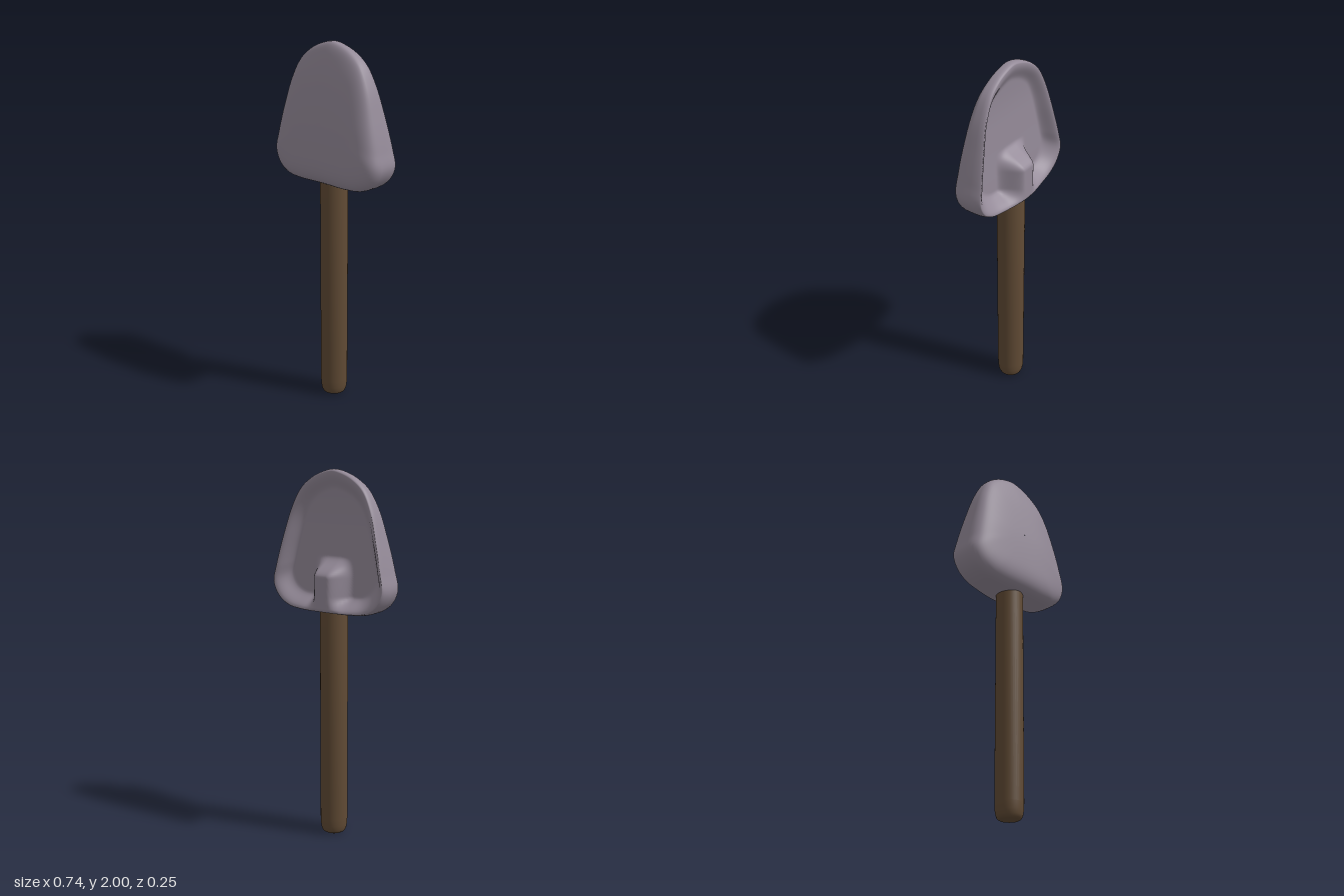
import * as THREE from 'three';

const steel = new THREE.MeshStandardMaterial({ color: 0x948a98 });
steel.name = 'dull steel';
const wood = new THREE.MeshStandardMaterial({ color: 0x604a34 });
wood.name = 'dark wood';

const { lerp, smoothstep } = THREE.MathUtils;
const CENTRE_Y = 1.6, SEGMENTS = 144;

// Smooth curve through [y, value] pairs, returned as a lookup function
function curve(table) {
  const spline = new THREE.SplineCurve(table.map(([y, v]) => new THREE.Vector2(y, v)));
  const points = spline.getPoints(60);
  return y => {
    const i = Math.max(1, points.findIndex(p => p.x >= y));
    const a = points[i - 1], b = points[i];
    return lerp(a.y, b.y, (y - a.x) / (b.x - a.x));
  };
}

// Depth of the blade's faces along its height
const frontZ = curve([[1.2, 0.155], [1.3, 0.141], [1.42, 0.124], [1.6, 0.107], [1.8, 0.078], [1.92, 0.056], [2.05, 0.035]]);
const edgeZ = curve([[1.2, -0.02], [1.6, -0.02], [2.05, -0.01]]);
const floorZ = curve([[1.2, -0.022], [1.4, -0.015], [1.6, -0.005], [1.8, 0], [2.05, -0.015]]);
const sideRimZ = curve([[1.2, -0.078], [1.4, -0.086], [1.6, -0.07], [1.8, -0.048], [2.05, -0.03]]);
function rimZ(x, y) {
  const lip = Math.exp(-((x / 0.17) ** 2)) * (1 - smoothstep(y, 1.32, 1.52));
  return sideRimZ(y) - 0.038 * lip;
}

// Back face: rim, hollow, and the socket swelling at the bottom
function backZ(x, y, s) {
  const hollow = 1 - smoothstep(s, 0.74, 0.97);
  const z = lerp(rimZ(x, y), floorZ(y), hollow);
  const socket = (1 - smoothstep(Math.abs(x), 0.035, 0.13)) * (1 - smoothstep(y, 1.445, 1.55));
  return lerp(z, Math.min(z, -0.124), socket);
}

function bladeGeometry() {
  const half = [[0.17, 1.254], [0.26, 1.266], [0.33, 1.31], [0.368, 1.385], [0.352, 1.48],
    [0.312, 1.64], [0.262, 1.8], [0.205, 1.902], [0.13, 1.96], [0.055, 1.99]];
  const loop = [[0, 1.256], ...half, [0, 2], ...half.map(([x, y]) => [-x, y]).reverse()];
  const outline = new THREE.CatmullRomCurve3(loop.map(([x, y]) => new THREE.Vector3(x, y, 0)), true)
    .getSpacedPoints(SEGMENTS).slice(0, SEGMENTS);

  // Rings run from the front centre, over the edge, to the back centre
  const rings = [];
  for (let i = 0; i <= 20; i++) {
    const s = Math.sin((i / 20) * Math.PI / 2);
    rings.push([Math.max(s, 0.001), (x, y) => lerp(edgeZ(y), frontZ(y), (1 - s ** 4) ** 0.25)]);
  }
  for (let i = 1; i <= 5; i++) {
    const a = (i / 5) * Math.PI / 2;
    rings.push([0.97 + 0.03 * Math.cos(a), (x, y) => lerp(edgeZ(y), rimZ(x, y), Math.sin(a))]);
  }
  for (let i = 1; i <= 40; i++) {
    const s = Math.max(0.97 * (1 - i / 40), 0.001);
    rings.push([s, (x, y) => backZ(x, y, s)]);
  }

  const positions = [], indices = [];
  rings.forEach(([s, depth], r) => {
    outline.forEach((p, j) => {
      const x = p.x * s, y = CENTRE_Y + (p.y - CENTRE_Y) * s;
      positions.push(x, y, depth(x, y));
      if (r === 0) return;
      const k = (j + 1) % SEGMENTS, a = (r - 1) * SEGMENTS, b = r * SEGMENTS;
      indices.push(a + j, b + j, b + k, a + j, b + k, a + k);
    });
  });
  const geometry = new THREE.BufferGeometry();
  geometry.setAttribute('position', new THREE.Float32BufferAttribute(positions, 3));
  geometry.setIndex(indices);
  geometry.computeVertexNormals();
  return geometry;
}

export function createModel() {
  const group = new THREE.Group();
  group.name = 'shovel';

  const blade = new THREE.Mesh(bladeGeometry(), steel);
  blade.name = 'blade';

  // Round shaft with a softened butt end
  const profile = [[0, 0], [0.05, 0.003], [0.062, 0.01], [0.069, 0.025], [0.073, 0.05], [0.075, 0.09], [0.075, 1.3], [0, 1.3]];
  const handle = new THREE.Mesh(
    new THREE.LatheGeometry(profile.map(([x, y]) => new THREE.Vector2(x, y)), 40), wood);
  handle.name = 'handle';
  handle.position.z = -0.012;

  group.add(blade, handle);
  return group;
}
